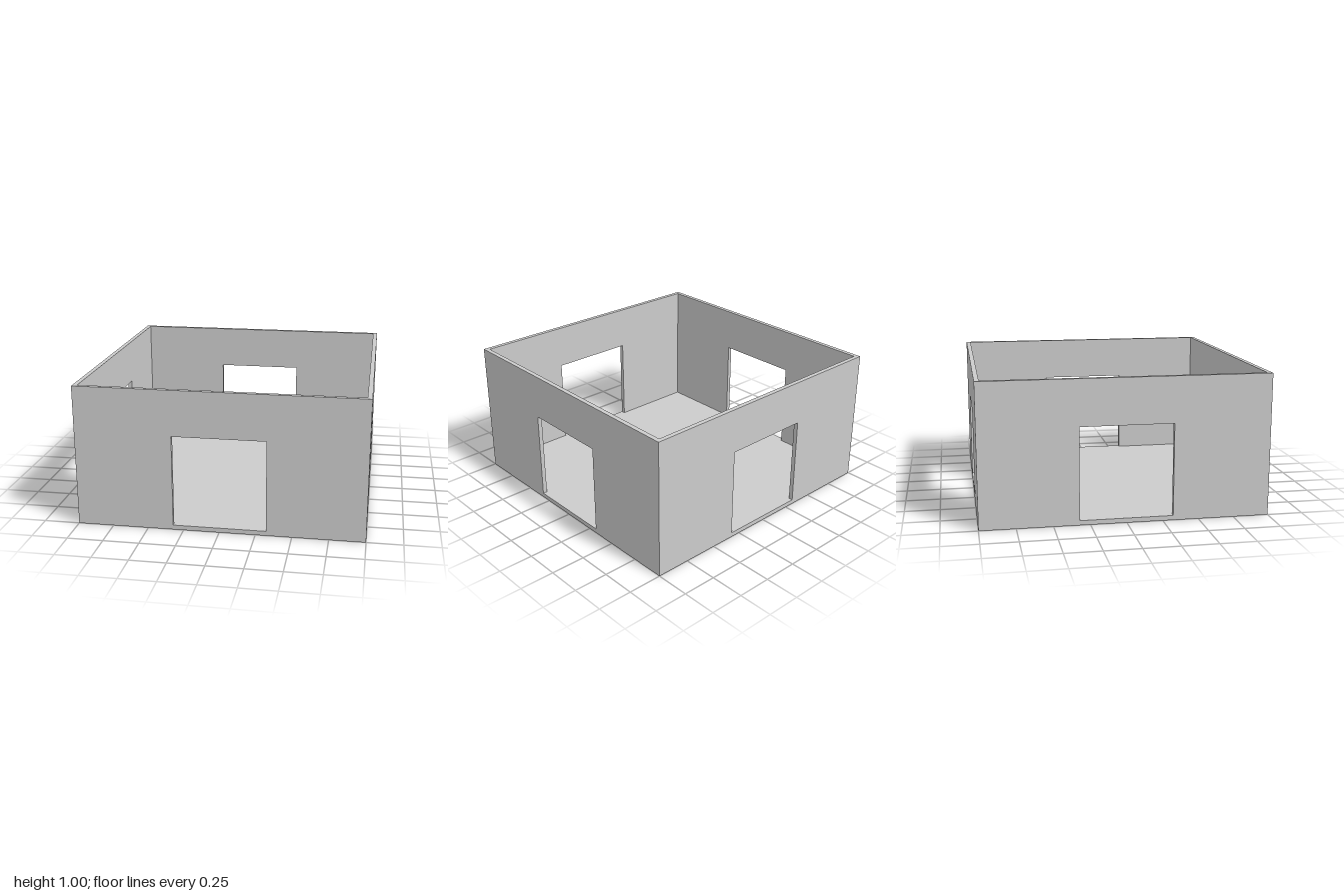
import * as THREE from 'three';

const T = 1 / 31;          // wall and floor thickness
const HALF = 10 / 31;      // half the opening width
const IN = 1 - T;          // inner face of the walls

// Upright wall with a square opening; its outer face is at z = 1
function wallGeometry(halfWidth) {
  const shape = new THREE.Shape([
    new THREE.Vector2(-halfWidth, 0), new THREE.Vector2(halfWidth, 0),
    new THREE.Vector2(halfWidth, 1), new THREE.Vector2(-halfWidth, 1),
  ]);
  shape.holes.push(new THREE.Path([
    new THREE.Vector2(-HALF, T), new THREE.Vector2(-HALF, T + 2 * HALF),
    new THREE.Vector2(HALF, T + 2 * HALF), new THREE.Vector2(HALF, T),
  ]));
  return new THREE.ExtrudeGeometry(shape, { depth: T, bevelEnabled: false }).translate(0, 0, IN);
}

export function createModel() {
  const model = new THREE.Group();
  model.name = 'openRoom';
  const material = new THREE.MeshStandardMaterial({ color: 0xcccccc });

  // Floor slab, flush with the sills
  const floor = new THREE.Mesh(new THREE.BoxGeometry(2 * IN, T, 2 * IN), material);
  floor.name = 'floor';
  floor.position.y = T / 2;
  model.add(floor);

  // Four walls; the side walls fit between the front and back ones
  ['frontWall', 'leftWall', 'backWall', 'rightWall'].forEach((name, i) => {
    const wall = new THREE.Mesh(wallGeometry(i % 2 ? IN : 1), material);
    wall.name = name;
    wall.rotation.y = i * Math.PI / 2;
    model.add(wall);
  });

  return model;
}
